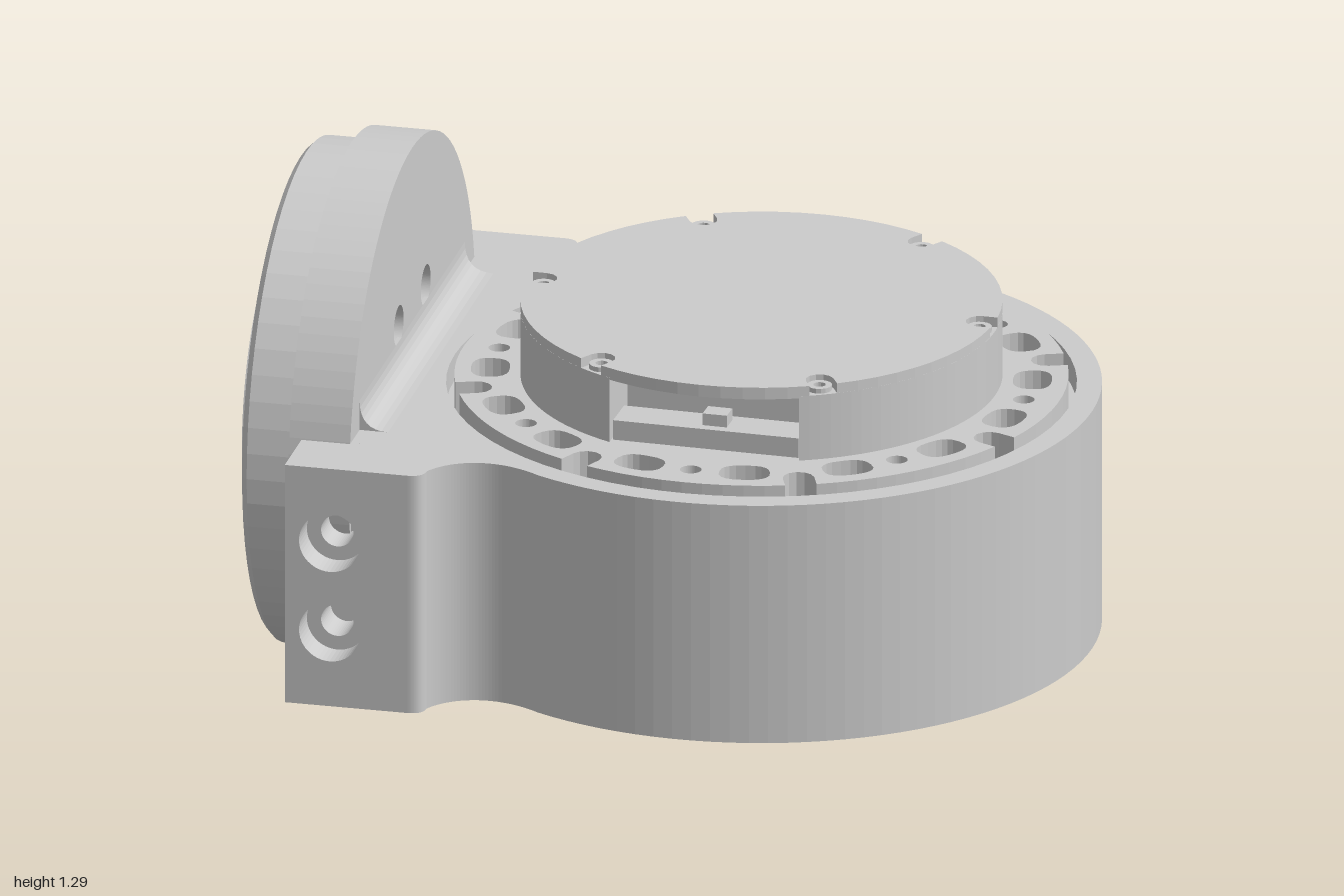
import * as THREE from 'three';

const CX = 0.18;            // axis of the main housing
const AY = 0.643;           // height of the flange axis
const TAU = Math.PI * 2;
const rad = THREE.MathUtils.degToRad;
const mat = new THREE.MeshStandardMaterial({ color: 0xcccccc, flatShading: true });

function add(group, name, geo, x = 0, y = 0, z = 0) {
  const m = new THREE.Mesh(geo, mat);
  m.name = name;
  m.position.set(x, y, z);
  group.add(m);
  return m;
}

const circle = (r, x = 0, y = 0, C = THREE.Path) => new C().absarc(x, y, r, 0, TAU, false);
const disc = (r) => circle(r, 0, 0, THREE.Shape);
const polar = (r, deg) => [r * Math.cos(rad(deg)), r * Math.sin(rad(deg))];
const extrude = (shape, depth, seg = 36) =>
  new THREE.ExtrudeGeometry(shape, { depth, bevelEnabled: false, curveSegments: seg });
// shape drawn in (x, z), filled from y0 to y1
const slab = (shape, y0, y1, seg) => extrude(shape, y1 - y0, seg).rotateX(Math.PI / 2).translate(0, y1, 0);
// shape drawn in (-z, y), filled from x0 to x1
const plate = (shape, x0, x1, seg) => extrude(shape, x1 - x0, seg).rotateY(Math.PI / 2).translate(x0, 0, 0);
const lathe = (pts, seg = 60) => new THREE.LatheGeometry(pts.map(p => new THREE.Vector2(...p)), seg);

// Round housing with curved necks that run out to the clamp block
function housingOutline() {
  const s = new THREE.Shape();
  const a = rad(117.8);
  s.moveTo(-0.58, 0.8);
  s.lineTo(-0.5, 0.8);
  s.quadraticCurveTo(-0.46, 0.8, -0.46, 0.76);
  s.bezierCurveTo(-0.42, 0.68, -0.32, 0.64, -0.2, 0.72);
  s.absarc(CX, 0, 0.815, a, -a, true);
  s.bezierCurveTo(-0.32, -0.64, -0.42, -0.68, -0.46, -0.76);
  s.quadraticCurveTo(-0.46, -0.8, -0.5, -0.8);
  s.lineTo(-0.58, -0.8);
  s.closePath();
  return s;
}

// Kidney hole along the bolt circle
function slot(r, deg, half, w) {
  const pts = [];
  for (let i = 0; i < 20; i++) {
    const t = (i / 20) * TAU;
    const c = Math.cos(t), q = Math.sin(t);
    const f = v => Math.sign(v) * Math.pow(Math.abs(v), 0.75);
    pts.push(new THREE.Vector2(...polar(r + f(q) * w, deg + f(c) * half)));
  }
  return new THREE.Path(pts);
}

// Disc with U-shaped notches in its rim
function notchedDisc(r, depth, width, count, offset) {
  const s = new THREE.Shape();
  const half = THREE.MathUtils.radToDeg(width / r);
  for (let i = 0; i < count; i++) {
    const a = offset + i * 360 / count;
    const next = a + 360 / count - half;
    const c = polar(r - depth + width, a);
    for (let j = 0; j <= 6; j++) {
      const p = polar(width, a - 90 - j * 30);
      const x = c[0] + p[0], y = c[1] + p[1];
      if (i === 0 && j === 0) s.moveTo(x, y); else s.lineTo(x, y);
    }
    for (let j = 0; j <= 10; j++) s.lineTo(...polar(r, a + half + (next - a - half) * j / 10));
  }
  s.closePath();
  return s;
}

function buildHousing(root) {
  const g = new THREE.Group();
  g.name = 'housing';
  root.add(g);

  const upper = housingOutline();
  upper.holes.push(circle(0.755, CX, 0));
  add(g, 'housingWall', slab(upper, 0.3, 0.765));

  const lower = housingOutline();
  lower.holes.push(circle(0.53, CX, 0));
  for (let i = 0; i < 8; i++) {
    const [x, z] = polar(0.67, 22.5 + i * 45);
    lower.holes.push(circle(0.053, CX + x, z));
  }
  add(g, 'housingBase', slab(lower, 0.155, 0.3));
  add(g, 'innerCore', new THREE.CylinderGeometry(0.756, 0.756, 0.35, 60), CX, 0.525, 0);

  // Clamp block with counterbored screw holes at both ends
  add(g, 'clampBlock', new THREE.BoxGeometry(0.22, 0.61, 1.24), -0.69, 0.46, 0);
  for (const side of [1, -1]) {
    for (const [r, z0, z1] of [[0.075, 0.72, 0.8], [0.04, 0.62, 0.72]]) {
      const s = new THREE.Shape();
      s.moveTo(-0.8, 0.155).lineTo(-0.58, 0.155).lineTo(-0.58, 0.765).lineTo(-0.8, 0.765).closePath();
      for (const y of [0.345, 0.575]) s.holes.push(circle(r, -0.69, y));
      add(g, 'clampBlockEnd', extrude(s, z1 - z0, 24), 0, 0, side > 0 ? z0 : -z1);
    }
  }

  // Concave fillet between block and flange
  const f = new THREE.Shape();
  f.moveTo(-0.69, 0.755).lineTo(-0.61, 0.755).lineTo(-0.61, 0.765);
  f.quadraticCurveTo(-0.68, 0.765, -0.68, 0.84);
  f.lineTo(-0.69, 0.84).closePath();
  add(g, 'fillet', extrude(f, 1.07, 8), 0, 0, -0.535);
}

function buildUnderside(root) {
  const g = new THREE.Group();
  g.name = 'underside';
  g.position.x = CX;
  root.add(g);
  // Stepped recess inside a low collar
  add(g, 'lowerCollar', lathe([[0, 0.3], [0.47, 0.3], [0.47, 0.25], [0.5, 0.25], [0.5, 0.23],
    [0.52, 0.21], [0.52, 0.125], [0.585, 0.125], [0.585, 0.16]]));
  const hub = disc(0.42);
  for (let i = 0; i < 6; i++) hub.holes.push(circle(i % 2 ? 0.018 : 0.032, ...polar(0.22, 15 + i * 60)));
  add(g, 'recessPlate', slab(hub, 0.27, 0.301));
  add(g, 'recessRing', lathe([[0.31, 0.28], [0.31, 0.262], [0.33, 0.262], [0.33, 0.28]]));
  add(g, 'centreBoss', lathe([[0, 0.25], [0.08, 0.25], [0.08, 0.225], [0.11, 0.225], [0.13, 0.24], [0.13, 0.28]], 32));
}

function buildTurntable(root) {
  const g = new THREE.Group();
  g.name = 'turntable';
  g.position.x = CX;
  g.rotation.y = -rad(1.5);
  root.add(g);

  // Bolt ring: eight repeats of a pin hole and two kidney holes, notched rim
  const ring = notchedDisc(0.735, 0.085, 0.038, 8, 22.5);
  ring.holes.push(circle(0.5));
  for (let i = 0; i < 8; i++) {
    ring.holes.push(circle(0.026, ...polar(0.65, i * 45)));
    for (const d of [-11.5, 11.5]) ring.holes.push(slot(0.65, i * 45 + d, 5.4, 0.047));
  }
  add(g, 'boltRing', slab(ring, 0.69, 0.785, 24));

  // Drum with a connector pocket cut into the front
  const drum = new THREE.Shape();
  drum.absarc(0, 0, 0.577, rad(114), rad(66 - 360 + 360), false);
  drum.curves.length = 0;
  drum.currentPoint.set(0, 0);
  const [px, pz] = polar(0.577, 66);
  drum.moveTo(px, pz);
  drum.absarc(0, 0, 0.577, rad(66), rad(114) - TAU, true);
  drum.lineTo(-px, 0.36);
  drum.lineTo(px, 0.36);
  drum.closePath();
  add(g, 'drum', slab(drum, 0.76, 0.95, 60));
  add(g, 'connector', new THREE.BoxGeometry(0.46, 0.05, 0.1), 0, 0.81, 0.46);
  add(g, 'connectorTab', new THREE.BoxGeometry(0.06, 0.03, 0.05), 0.015, 0.85, 0.46);

  // Cover with screws in its rim notches
  add(g, 'cover', slab(notchedDisc(0.577, 0.07, 0.034, 6, 0), 0.945, 0.975));
  for (let i = 0; i < 6; i++) {
    const [x, z] = polar(0.54, i * 60);
    const screw = lathe([[0.03, 0.945], [0.03, 0.962], [0.015, 0.962], [0.015, 0.951], [0, 0.951]], 16);
    add(g, 'coverScrew', screw, x, 0, z);
  }
}

function buildFlange(root) {
  const g = new THREE.Group();
  g.name = 'sideFlange';
  g.position.y = AY;
  root.add(g);

  const back = disc(0.643);
  for (const a of [60, 120]) back.holes.push(circle(0.05, ...polar(0.275, a)));
  add(g, 'flangeBack', plate(back, -0.83, -0.68, 48));

  // Outer body, turned about the x axis
  const body = lathe([[0.4, -0.83], [0.61, -0.83], [0.61, -0.94], [0.595, -0.955], [0.4, -0.955]].reverse(), 60);
  add(g, 'flangeBody', body.rotateZ(-Math.PI / 2));

  const face = disc(0.41);
  for (let i = 0; i < 6; i++) face.holes.push(circle(0.037, ...polar(0.275, i * 60)));
  for (const a of [90, 330]) face.holes.push(circle(0.024, ...polar(0.275, a)));
  add(g, 'flangeFace', plate(face, -1, -0.83, 48));
}

export function createModel() {
  const root = new THREE.Group();
  root.name = 'rotaryJoint';
  buildHousing(root);
  buildUnderside(root);
  buildTurntable(root);
  buildFlange(root);
  return root;
}
